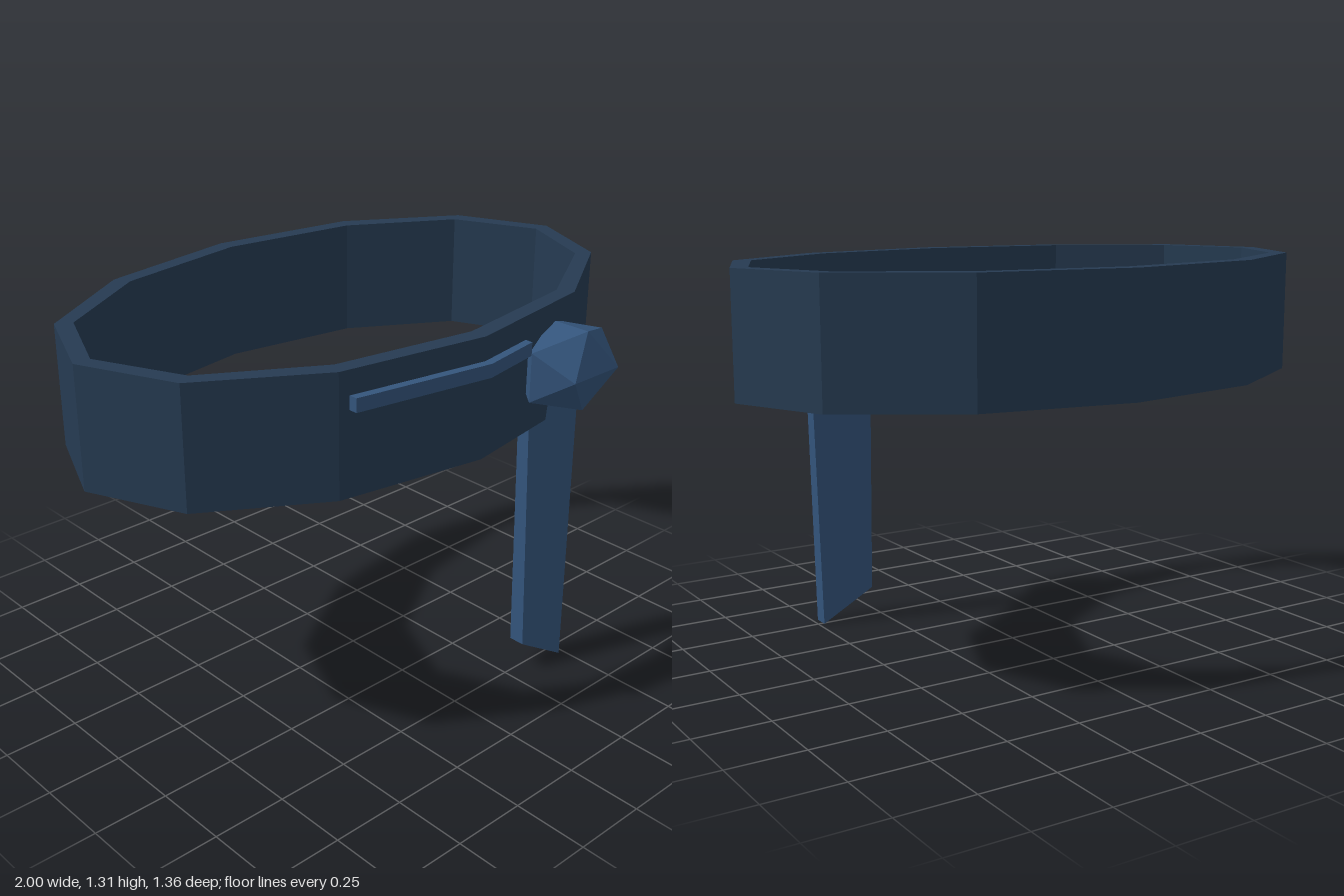
import * as THREE from 'three';

const bandMaterial = new THREE.MeshStandardMaterial({ color: 0x263b52, flatShading: true });
const clothMaterial = new THREE.MeshStandardMaterial({ color: 0x34557c, flatShading: true });

const BAND_Z = -0.055; // centre of the oval band

// Corner points of a 12-sided oval in the (x, z) plane
function oval(rx, rz) {
  const points = [];
  for (let i = 0; i < 12; i++) {
    const a = (i / 12) * Math.PI * 2;
    points.push(new THREE.Vector2(Math.cos(a) * rx, BAND_Z + Math.sin(a) * rz));
  }
  return points;
}

// Extrudes an (x, z) outline upwards from bottom to top
function slab(name, shape, bottom, top, material) {
  const geometry = new THREE.ExtrudeGeometry(shape, { depth: top - bottom, bevelEnabled: false });
  geometry.rotateX(Math.PI / 2).translate(0, top, 0);
  const mesh = new THREE.Mesh(geometry, material);
  mesh.name = name;
  return mesh;
}

// Flat hanging strip: a box whose corners are moved to a slanted, tapered outline
function hangingTail() {
  const geometry = new THREE.BoxGeometry(1, 1, 1);
  const p = geometry.attributes.position;
  for (let i = 0; i < p.count; i++) {
    const right = p.getX(i) > 0, top = p.getY(i) > 0, front = p.getZ(i) > 0;
    const x = right ? (top ? 0.522 : 0.48) : 0.295;
    const y = right ? (top ? 1.17 : 0) : (top ? 1.1 : 0.11);
    const backZ = (top ? 0.467 : 0.491) - (right ? 0 : 0.014);
    p.setXYZ(i, x, y, backZ + (front ? (top ? 0.043 : 0.055) : 0));
  }
  geometry.computeVertexNormals();
  const mesh = new THREE.Mesh(geometry, clothMaterial);
  mesh.name = 'hangingTail';
  return mesh;
}

export function createModel() {
  const group = new THREE.Group();
  group.name = 'sash';

  // Waist band
  const ring = new THREE.Shape(oval(1, 0.625));
  ring.holes.push(new THREE.Path(oval(0.943, 0.567)));
  group.add(slab('waistBand', ring, 0.917, 1.311, bandMaterial));

  // Raised fold running along the front of the band
  const fold = new THREE.Shape([
    [-0.465, 0.48], [0, 0.56], [0.22, 0.522], [0.22, 0.56], [0, 0.598], [-0.465, 0.52],
  ].map(([x, z]) => new THREE.Vector2(x, z)));
  group.add(slab('frontFold', fold, 1.19, 1.234, clothMaterial));

  // Faceted knot
  const knotGeometry = new THREE.IcosahedronGeometry(1, 0);
  knotGeometry.rotateZ(Math.PI / 2).scale(0.198, 0.154, 0.145);
  const knot = new THREE.Mesh(knotGeometry, clothMaterial);
  knot.name = 'knot';
  knot.position.set(0.393, 1.114, 0.557);
  group.add(knot);

  group.add(hangingTail());
  return group;
}
